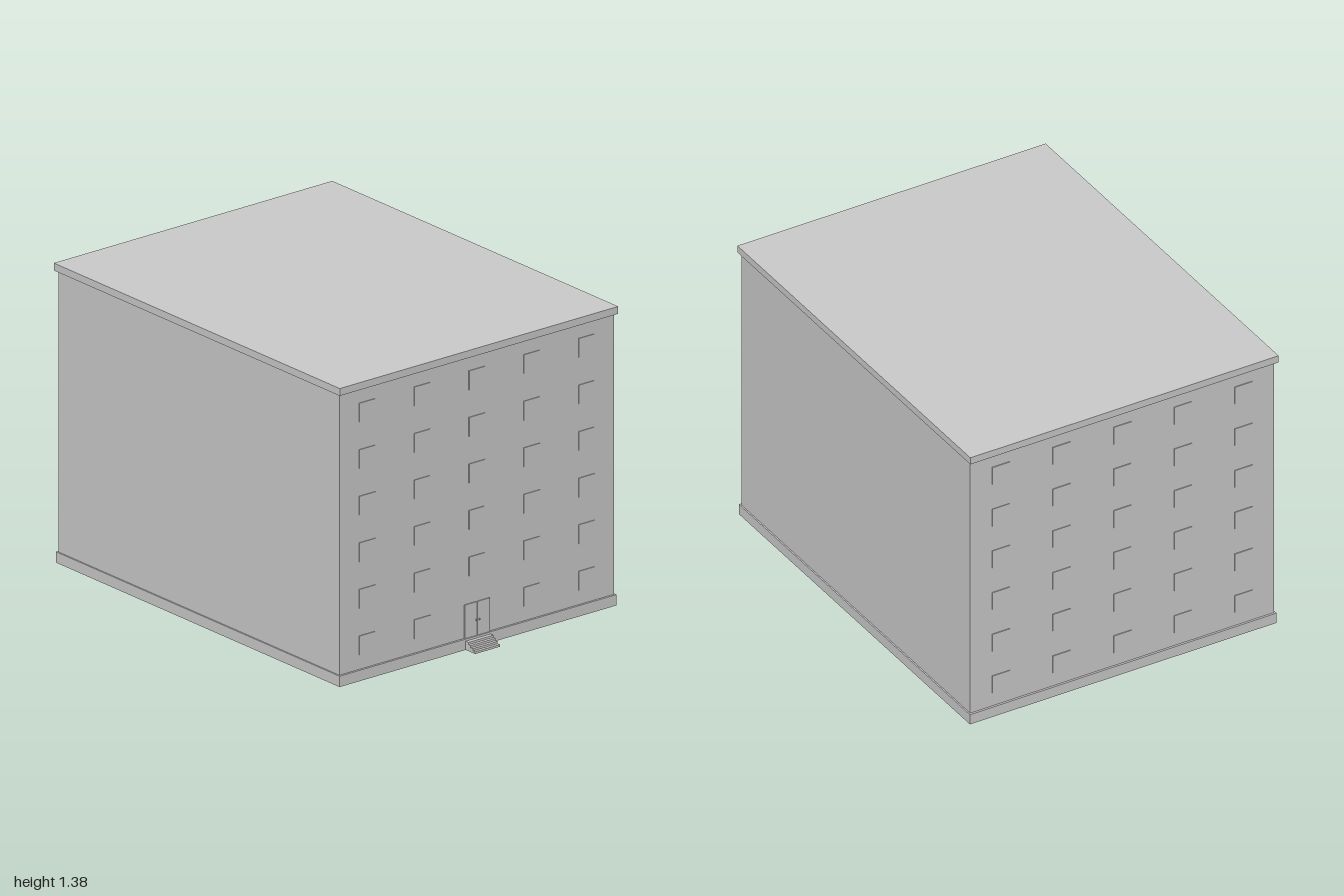
import * as THREE from 'three';

export function createModel() {
  const group = new THREE.Group();
  group.name = 'apartmentBlock';
  const material = new THREE.MeshStandardMaterial({ color: 0xcccccc });

  // Box given by its minimum and maximum corners
  function box(name, x0, x1, y0, y1, z0, z1, parent = group) {
    const mesh = new THREE.Mesh(new THREE.BoxGeometry(x1 - x0, y1 - y0, z1 - z0), material);
    mesh.position.set((x0 + x1) / 2, (y0 + y1) / 2, (z0 + z1) / 2);
    mesh.name = name;
    parent.add(mesh);
    return mesh;
  }

  const front = 0.926, back = -0.98;

  // Main volume with plinth and overhanging roof slab
  box('walls', -0.764, 0.764, 0.05, 1.346, back, front);
  box('plinth', -0.771, 0.771, 0, 0.05, -0.99, 0.936);
  box('roofSlab', -0.775, 0.775, 1.346, 1.38, -1, 0.942);

  // Windows: six storeys of five on front and back; the door takes one place
  const windows = new THREE.Group();
  windows.name = 'windows';
  group.add(windows);
  const half = 0.044, depth = 0.004;
  for (let row = 0; row < 6; row++) {
    for (let col = -2; col <= 2; col++) {
      const x = col * 0.305, y = 0.161 + row * 0.2148;
      if (row > 0 || col !== 0) {
        box('frontWindow', x - half, x + half, y - half, y + half, front - 0.002, front + depth, windows);
      }
      box('backWindow', x - half, x + half, y - half, y + half, back - depth, back + 0.002, windows);
    }
  }

  // Double door with a knob on each leaf
  for (const side of [-1, 1]) {
    const inner = side * 0.0008, outer = side * 0.07;
    box('doorLeaf', Math.min(inner, outer), Math.max(inner, outer), 0.05, 0.205, front - 0.002, front + 0.005);
    const knob = new THREE.Mesh(new THREE.SphereGeometry(0.004, 12, 8), material);
    knob.position.set(side * 0.009, 0.123, front + 0.008);
    knob.name = 'doorKnob';
    group.add(knob);
  }

  // Entrance steps, each lower one reaching further out
  for (let i = 0; i < 4; i++) {
    box('step', -0.069, 0.069, i * 0.01, (i + 1) * 0.01, 0.93, 1 - i * 0.015);
  }

  return group;
}
